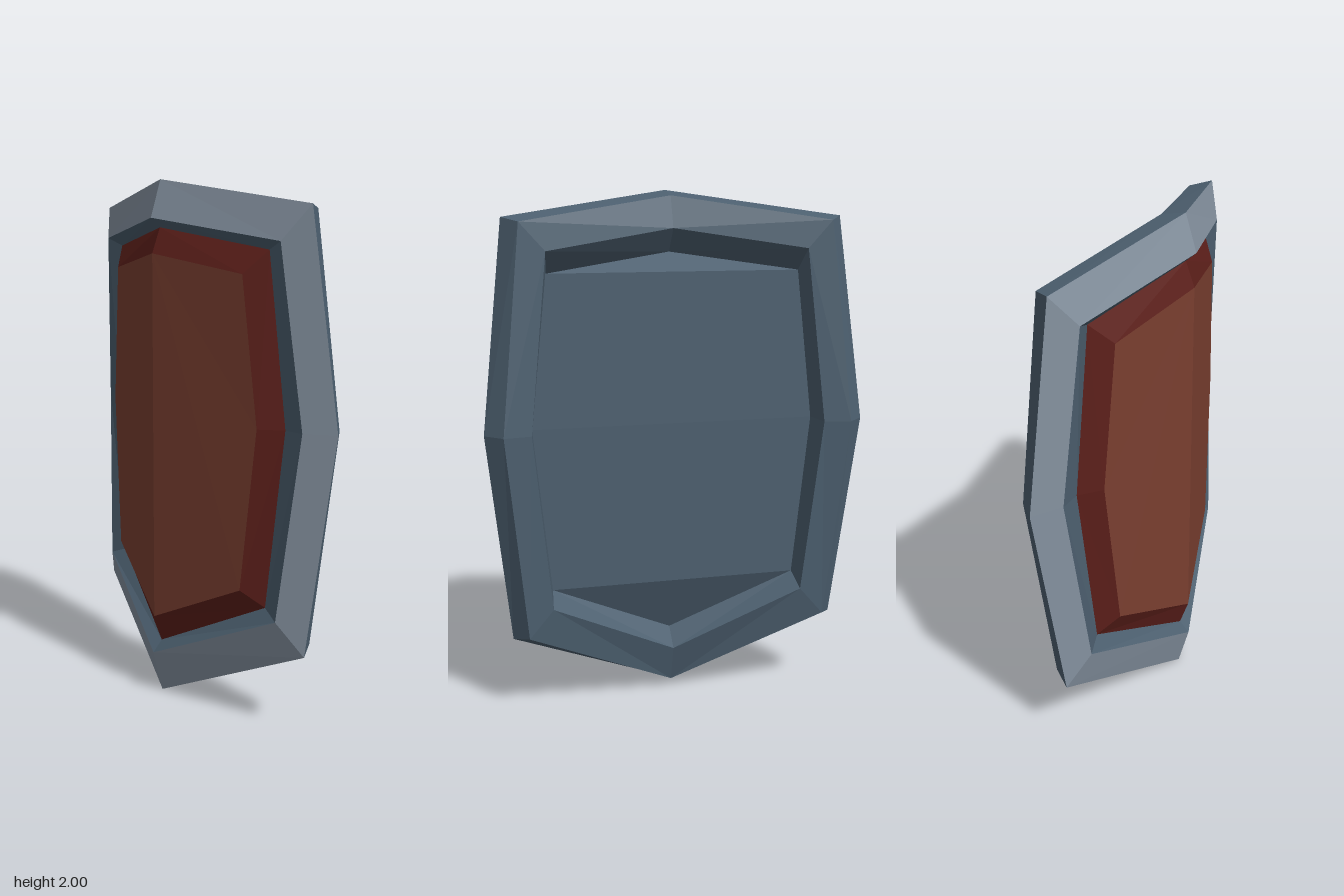
import * as THREE from 'three';

// Right half of each ring, from top centre to bottom centre: [x, y, z]
const HALF = {
  panelFront: [[0, 1.73, 0.165], [0.41, 1.665, 0.06], [0.475, 1.12, 0.04], [0.41, 0.51, 0.06], [0, 0.315, 0.165]],
  bevelOuter: [[0, 1.825, 0.13], [0.48, 1.75, -0.005], [0.55, 1.12, -0.03], [0.48, 0.45, -0.005], [0, 0.21, 0.13]],
  rimInner: [[0, 1.86, 0.17], [0.56, 1.78, 0.013], [0.635, 1.12, -0.035], [0.56, 0.42, 0.013], [0, 0.165, 0.17]],
  rimOuter: [[0, 2, 0.127], [0.65, 1.905, -0.05], [0.74, 1.12, -0.107], [0.65, 0.3, -0.05], [0, 0, 0.127]],
  backOuter: [[0, 1.98, 0.033], [0.595, 1.89, -0.123], [0.675, 1.12, -0.173], [0.595, 0.32, -0.123], [0, 0.03, 0.033]],
  backInner: [[0, 1.86, -0.01], [0.5, 1.785, -0.12], [0.57, 1.12, -0.155], [0.5, 0.43, -0.12], [0, 0.18, -0.01]],
  panelBack: [[0, 1.77, 0.06], [0.49, 1.7, -0.035], [0.555, 1.12, -0.04], [0.49, 0.48, -0.035], [0, 0.25, 0.06]],
};

// Complete a half ring by mirroring it across x = 0
const ring = (half) => [...half, ...half.slice(1, 4).reverse().map(([x, y, z]) => [-x, y, z])];

function makeMesh(name, triangles, color) {
  const geometry = new THREE.BufferGeometry();
  geometry.setAttribute('position', new THREE.Float32BufferAttribute(triangles.flat(2), 3));
  geometry.computeVertexNormals();
  const material = new THREE.MeshStandardMaterial({ color, flatShading: true });
  const mesh = new THREE.Mesh(geometry, material);
  mesh.name = name;
  return mesh;
}

// Strip between two neighbouring rings, with mirrored diagonals on the left and right
function band(inner, outer) {
  const triangles = [];
  for (let i = 0; i < 8; i++) {
    const j = (i + 1) % 8;
    const [a, b, c, d] = [outer[i], inner[i], inner[j], outer[j]];
    if (i < 4) triangles.push([a, b, c], [a, c, d]);
    else triangles.push([a, b, d], [b, c, d]);
  }
  return triangles;
}

export function createModel() {
  const group = new THREE.Group();
  group.name = 'shield';
  const r = {};
  for (const key in HALF) r[key] = ring(HALF[key]);

  const wood = 0x7a3f30, darkWood = 0x5c1f1a, rimMetal = 0x8592a0, darkMetal = 0x4d6070;

  // Front panel, folded along the centre line
  const f = r.panelFront;
  const front = [];
  for (let i = 1; i < 4; i++) front.push([f[0], f[i + 1], f[i]]);
  for (let i = 4; i < 7; i++) front.push([f[0], f[i + 1], f[i]]);
  group.add(makeMesh('frontPanel', front, wood));
  group.add(makeMesh('panelBevel', band(r.panelFront, r.bevelOuter), darkWood));

  // Rim: sloped inner wall, bright front face, outer edge and back
  group.add(makeMesh('rimInnerWall', band(r.bevelOuter, r.rimInner), darkMetal));
  group.add(makeMesh('rimFace', band(r.rimInner, r.rimOuter), rimMetal));
  group.add(makeMesh('rimEdge', band(r.rimOuter, r.backOuter), darkMetal));
  group.add(makeMesh('rimBack', band(r.backOuter, r.backInner), darkMetal));
  group.add(makeMesh('backRecessWall', band(r.backInner, r.panelBack), darkMetal));

  // Back panel, flat across from side to side
  const p = r.panelBack;
  const back = [[p[0], p[1], p[7]], [p[4], p[5], p[3]]];
  for (const i of [1, 2]) back.push([p[i], p[i + 1], p[8 - i]], [p[i + 1], p[7 - i], p[8 - i]]);
  group.add(makeMesh('backPanel', back, darkMetal));

  return group;
}
